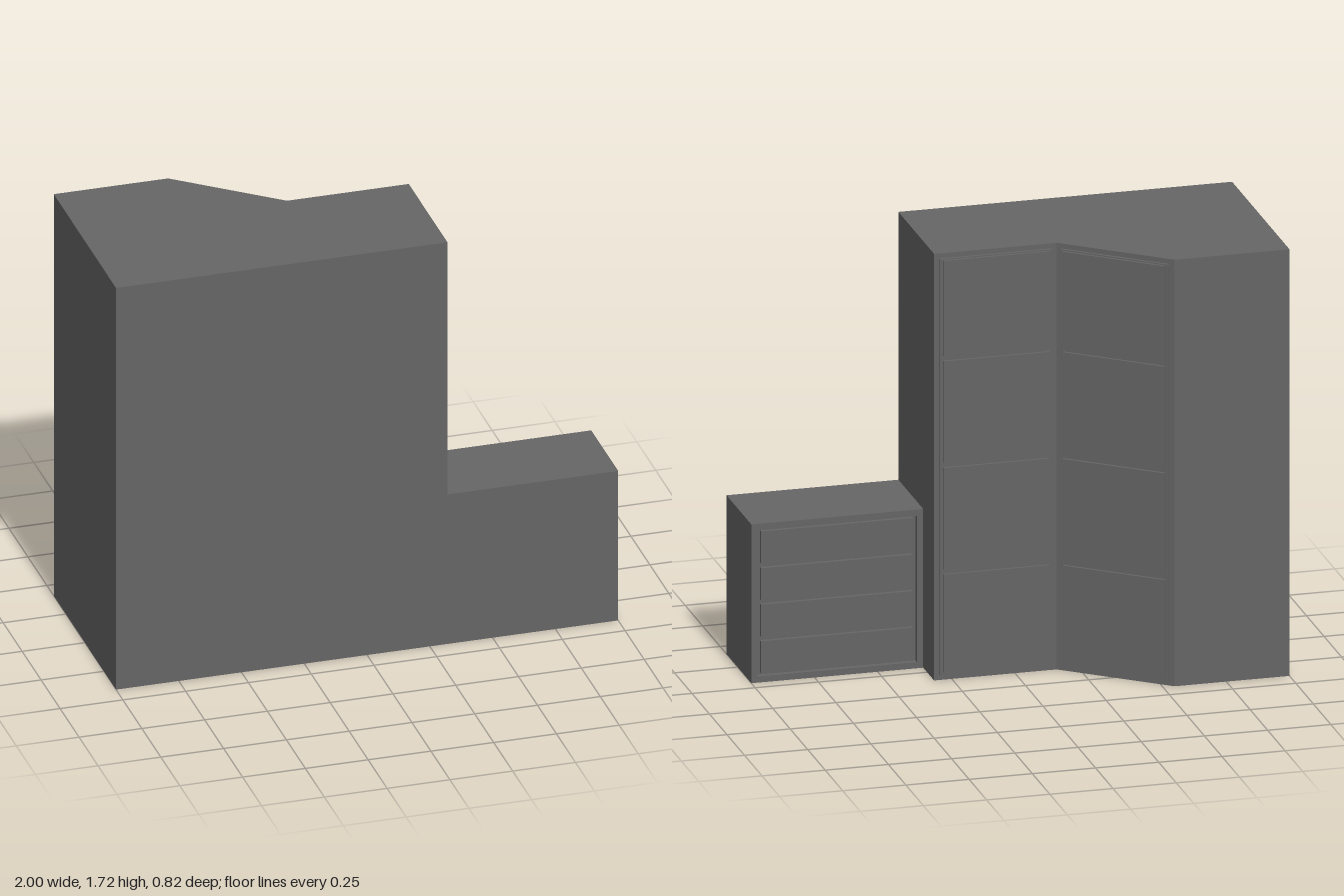
import * as THREE from 'three';

const H = 1.72;      // tall cabinet height
const LOW = 0.64;    // low cabinet height

export function createModel() {
  const model = new THREE.Group();
  model.name = 'cornerCabinet';
  const grey = new THREE.MeshStandardMaterial({ color: 0x666666 });
  grey.name = 'grey';

  const add = (parent, name, geometry) => {
    const mesh = new THREE.Mesh(geometry, grey);
    mesh.name = name;
    parent.add(mesh);
    return mesh;
  };

  // Box given by its minimum and maximum corners
  const block = (parent, name, [x0, y0, z0], [x1, y1, z1]) => {
    const mesh = add(parent, name, new THREE.BoxGeometry(x1 - x0, y1 - y0, z1 - z0));
    mesh.position.set((x0 + x1) / 2, (y0 + y1) / 2, (z0 + z1) / 2);
    return mesh;
  };

  // Tall body: floor plan (x, z) pulled up to full height
  const plan = new THREE.Shape([
    [-1, 0.41], [-1, -0.41], [-0.545, -0.41], [-0.165, -0.1], [0.32, -0.1], [0.32, 0.41],
  ].map(([x, z]) => new THREE.Vector2(x, z)));
  const tall = new THREE.ExtrudeGeometry(plan, { depth: H, bevelEnabled: false });
  tall.rotateX(Math.PI / 2).translate(0, H, 0);
  add(model, 'tallBody', tall);

  // Door stack: thin backing with four raised panels, facing local +z
  const doorStack = (name, x, z, angle, width) => {
    const group = new THREE.Group();
    group.name = name;
    const w = width / 2;
    block(group, 'doorFrame', [-w, 0.02, -0.005], [w, H - 0.02, 0.01]);
    for (let i = 0; i < 4; i++) {
      const bottom = Math.max(0.035, i * 0.43 + 0.02);
      const top = Math.min(H - 0.025, (i + 1) * 0.43);
      block(group, 'doorPanel', [-w + 0.013, bottom, 0.005], [w - 0.013, top, 0.02]);
    }
    group.position.set(x, 0, z);
    group.rotation.y = angle;
    model.add(group);
  };
  doorStack('straightDoors', 0.078, -0.1, Math.PI, 0.446);
  doorStack('diagonalDoors', -0.355, -0.255, Math.atan2(0.31, -0.38), 0.45);

  // Low cabinet: solid box with a rim around the drawer recess
  block(model, 'lowBody', [0.32, 0, 0.075], [1, LOW, 0.41]);
  const rim = new THREE.Shape([
    [0.32, 0], [1, 0], [1, LOW], [0.32, LOW],
  ].map(([x, y]) => new THREE.Vector2(x, y)));
  rim.holes.push(new THREE.Path([
    [0.345, 0.025], [0.345, LOW - 0.025], [0.975, LOW - 0.025], [0.975, 0.025],
  ].map(([x, y]) => new THREE.Vector2(x, y))));
  const rimGeometry = new THREE.ExtrudeGeometry(rim, { depth: 0.02, bevelEnabled: false });
  rimGeometry.translate(0, 0, 0.055);
  add(model, 'drawerRim', rimGeometry);

  // Four drawer fronts with narrow gaps
  const pitch = (LOW - 0.05) / 4;
  for (let i = 0; i < 4; i++) {
    const y = 0.025 + i * pitch;
    block(model, 'drawerFront', [0.36, y + 0.009, 0.06], [0.96, y + pitch - 0.009, 0.08]);
  }

  return model;
}
